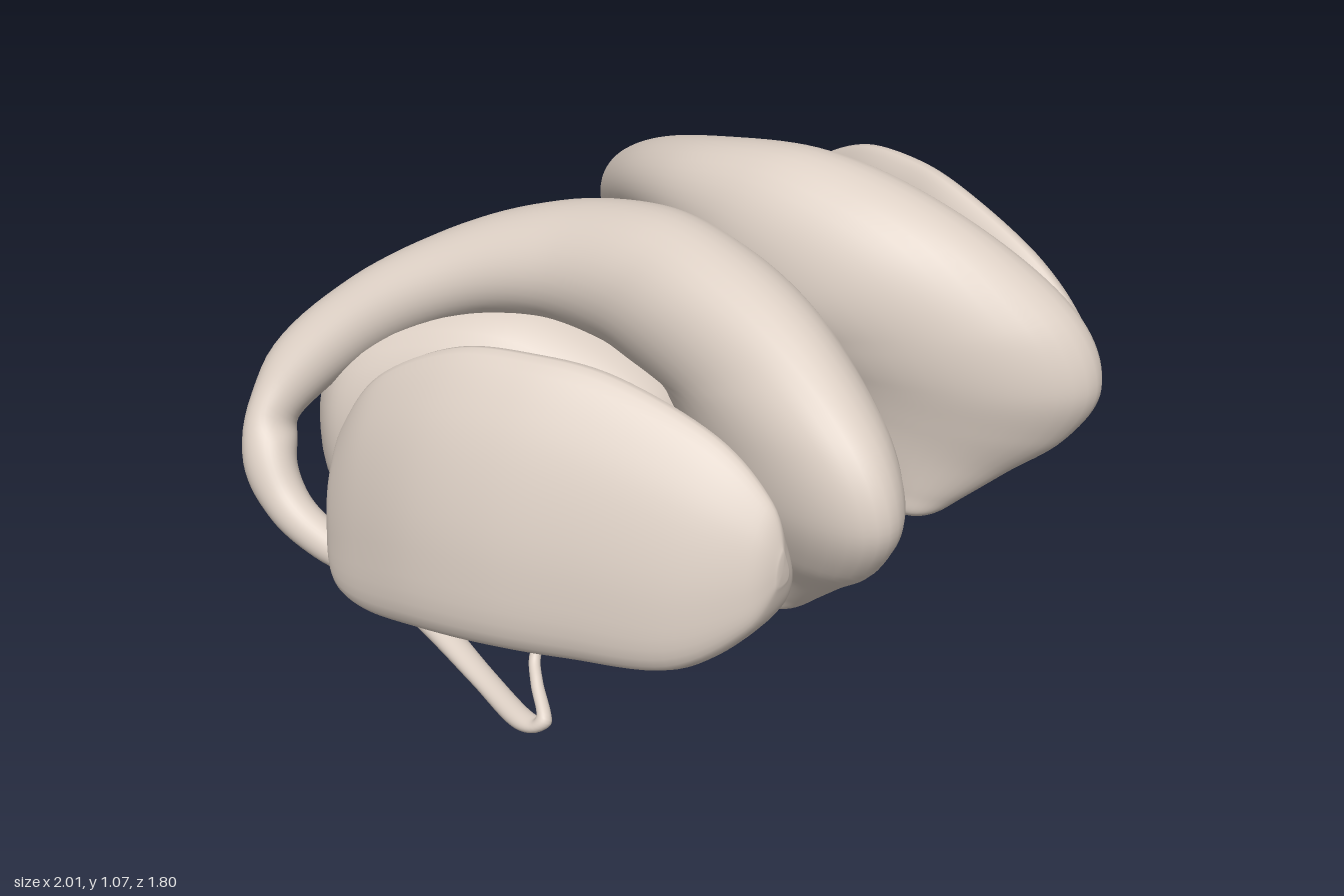
import * as THREE from 'three';

const material = new THREE.MeshStandardMaterial({ color: 0xddd0c5, roughness: 0.8 });

// Smoothly interpolate a table of stations into n + 1 rows
function resample(stations, n) {
  const columns = stations[0].map((_, c) =>
    new THREE.SplineCurve(stations.map((s, i) => new THREE.Vector2(i, s[c]))));
  return Array.from({ length: n + 1 }, (_, i) => columns.map((c) => c.getPoint(i / n).y));
}

// Closed smooth skin over a list of rings, with a pole at each end
function skin(rings) {
  const m = rings[0].length, pos = [], index = [];
  rings.forEach((r) => r.forEach((p) => pos.push(p.x, p.y, p.z)));
  for (let i = 0; i < rings.length - 1; i++) {
    for (let j = 0; j < m; j++) {
      const k = (j + 1) % m, a = i * m + j, b = i * m + k;
      index.push(a, b, a + m, b, b + m, a + m);
    }
  }
  [0, rings.length - 1].forEach((i) => {
    const c = new THREE.Vector3();
    rings[i].forEach((p) => c.addScaledVector(p, 1 / m));
    const pole = pos.length / 3;
    pos.push(c.x, c.y, c.z);
    for (let j = 0; j < m; j++) {
      const a = i * m + j, b = i * m + (j + 1) % m;
      if (i === 0) index.push(pole, b, a); else index.push(pole, a, b);
    }
  });
  // Turn the faces outward when the enclosed volume comes out negative
  const v = (i) => new THREE.Vector3().fromArray(pos, i * 3);
  let volume = 0;
  for (let i = 0; i < index.length; i += 3) {
    volume += v(index[i]).dot(v(index[i + 1]).cross(v(index[i + 2])));
  }
  if (volume < 0) index.reverse();
  const g = new THREE.BufferGeometry();
  g.setAttribute('position', new THREE.Float32BufferAttribute(pos, 3));
  g.setIndex(index);
  g.computeVertexNormals();
  return g;
}

// Thick part of the arch: point on the outer edge, point on the inner edge, half thickness
const ARCH = [
  [0.29, 0.150, 0.51, 0.285, 0.152, 0.44, 0.035], [0.295, 0.170, 0.55, 0.28, 0.175, 0.39, 0.08],
  [0.32, 0.215, 0.60, 0.26, 0.25, 0.34, 0.09], [0.37, 0.305, 0.70, 0.23, 0.36, 0.27, 0.105],
  [0.43, 0.42, 0.83, 0.22, 0.46, 0.22, 0.135], [0.46, 0.57, 0.90, 0.21, 0.54, 0.16, 0.165],
  [0.45, 0.74, 0.83, 0.18, 0.61, 0.10, 0.18], [0.41, 0.90, 0.62, 0.15, 0.66, 0.04, 0.185],
  [0.37, 1.01, 0.36, 0.16, 0.69, -0.04, 0.185], [0.335, 1.055, 0.10, 0.19, 0.715, -0.13, 0.175],
  [0.325, 1.015, -0.20, 0.26, 0.73, -0.27, 0.155], [0.40, 0.92, -0.48, 0.365, 0.695, -0.45, 0.125],
  [0.53, 0.765, -0.73, 0.535, 0.59, -0.635, 0.10], [0.70, 0.56, -0.88, 0.70, 0.45, -0.755, 0.085],
];

// Thin part: centre, half thickness sideways, half depth across
const TAIL = [
  [0.805, 0.36, -0.785, 0.07, 0.07], [0.835, 0.25, -0.70, 0.058, 0.06],
  [0.83, 0.18, -0.57, 0.05, 0.05], [0.80, 0.125, -0.38, 0.044, 0.038],
  [0.835, 0.08, -0.18, 0.038, 0.03], [0.89, 0.045, 0.02, 0.032, 0.024],
  [0.945, 0.028, 0.20, 0.03, 0.024], [0.945, 0.055, 0.27, 0.02, 0.02],
  [0.90, 0.11, 0.21, 0.015, 0.015], [0.86, 0.15, 0.17, 0.014, 0.014],
  [0.83, 0.21, 0.18, 0.011, 0.011],
];

const X = new THREE.Vector3(1, 0, 0);
const between = (list, i) => list[Math.min(i + 1, list.length - 1)].clone()
  .sub(list[Math.max(i - 1, 0)]).normalize();

// Give the tail stations the same edge-to-edge form as the thick part
function tailStations() {
  const centre = TAIL.map((s) => new THREE.Vector3(s[0], s[1], s[2]));
  return TAIL.map((s, i) => {
    const across = new THREE.Vector3().crossVectors(X, between(centre, i)).setLength(s[4]);
    return [...centre[i].clone().add(across).toArray(),
      ...centre[i].clone().sub(across).toArray(), s[3]];
  });
}

function archRings() {
  const rows = resample([...ARCH, ...tailStations()], 192), m = 36;
  const outer = rows.map((r) => new THREE.Vector3(r[0], r[1], r[2]));
  const inner = rows.map((r) => new THREE.Vector3(r[3], r[4], r[5]));
  const centre = outer.map((p, i) => p.clone().lerp(inner[i], 0.5));
  return rows.map((r, i) => {
    const across = outer[i].clone().sub(centre[i]);
    const side = new THREE.Vector3().crossVectors(between(centre, i), across).setLength(r[6]);
    return Array.from({ length: m }, (_, j) => {
      const a = (j / m) * Math.PI * 2;
      return centre[i].clone().addScaledVector(side, Math.cos(a))
        .addScaledVector(across, Math.sin(a));
    });
  });
}

// Wedge bodies: z, inner x, outer x, ridge x, bottom y, top y
const OUTER_WEDGE = [
  [0.745, 0.63, 0.67, 0.65, 0.47, 0.55], [0.70, 0.565, 0.74, 0.64, 0.36, 0.66],
  [0.55, 0.515, 0.84, 0.65, 0.245, 0.78], [0.30, 0.515, 0.925, 0.70, 0.215, 0.87],
  [0.10, 0.57, 0.98, 0.76, 0.20, 0.89], [-0.10, 0.65, 1.0, 0.81, 0.18, 0.865],
  [-0.30, 0.76, 0.98, 0.86, 0.15, 0.75], [-0.42, 0.81, 0.95, 0.88, 0.17, 0.58],
  [-0.47, 0.86, 0.91, 0.885, 0.28, 0.43],
];
const INNER_WEDGE = [
  [0.48, 0.49, 0.54, 0.515, 0.28, 0.38], [0.43, 0.46, 0.58, 0.52, 0.245, 0.49],
  [0.22, 0.425, 0.66, 0.56, 0.225, 0.59], [0.00, 0.50, 0.74, 0.63, 0.22, 0.61],
  [-0.20, 0.665, 0.84, 0.75, 0.21, 0.56], [-0.32, 0.77, 0.87, 0.82, 0.25, 0.45],
];

function wedgeRings(stations) {
  const mix = THREE.MathUtils.lerp;
  return resample(stations, 64).map(([z, xi, xo, xr, yb, yt]) => {
    const w = xo - xi, h = yt - yb;
    const p = (x, f) => new THREE.Vector3(x, yb + h * f, z);
    return new THREE.CatmullRomCurve3([
      p(xo - 0.07 * w, 0), p(xo, 0.33), p(mix(xr, xo, 0.6), 0.79), p(xr, 1),
      p(mix(xr, xi, 0.52), 0.7), p(xi, 0.22), p(xi + 0.16 * w, 0.03),
    ], true, 'centripetal').getPoints(48).slice(0, 48);
  });
}

// Egg-shaped body: z, centre x, centre y, half width, half height
const EGG = [
  [-0.867, 0.46, 0.34, 0.03, 0.04], [-0.84, 0.455, 0.34, 0.12, 0.15],
  [-0.70, 0.42, 0.35, 0.25, 0.285], [-0.50, 0.36, 0.395, 0.27, 0.325],
  [-0.30, 0.29, 0.42, 0.265, 0.315], [-0.10, 0.23, 0.40, 0.215, 0.255],
  [0.05, 0.215, 0.38, 0.14, 0.17], [0.10, 0.215, 0.38, 0.04, 0.05],
];

function eggRings() {
  const m = 36;
  return resample(EGG, 56).map(([z, x, y, rx, ry]) =>
    Array.from({ length: m }, (_, j) => {
      const a = (j / m) * Math.PI * 2, c = Math.cos(a), s = Math.sin(a);
      // Flatter below; the dome on top leans outward
      const power = s < 0 ? 0.78 : 0.95;
      const soft = (v) => Math.sign(v) * Math.abs(v) ** power;
      return new THREE.Vector3(x + rx * (soft(c) + 0.15 * Math.max(s, 0) ** 2), y + ry * soft(s), z);
    }));
}

export function createModel() {
  const group = new THREE.Group();
  const parts = {
    archedTail: archRings(), outerWedge: wedgeRings(OUTER_WEDGE),
    innerWedge: wedgeRings(INNER_WEDGE), innerEgg: eggRings(),
  };
  // The same parts on both sides of the middle plane
  for (const [side, sign] of [['left', 1], ['right', -1]]) {
    const half = new THREE.Group();
    half.name = side + 'Half';
    for (const [name, rings] of Object.entries(parts)) {
      const mirrored = rings.map((r) => r.map((p) => new THREE.Vector3(p.x * sign, p.y, p.z)));
      const mesh = new THREE.Mesh(skin(mirrored), material);
      mesh.name = name;
      half.add(mesh);
    }
    group.add(half);
  }
  return group;
}
